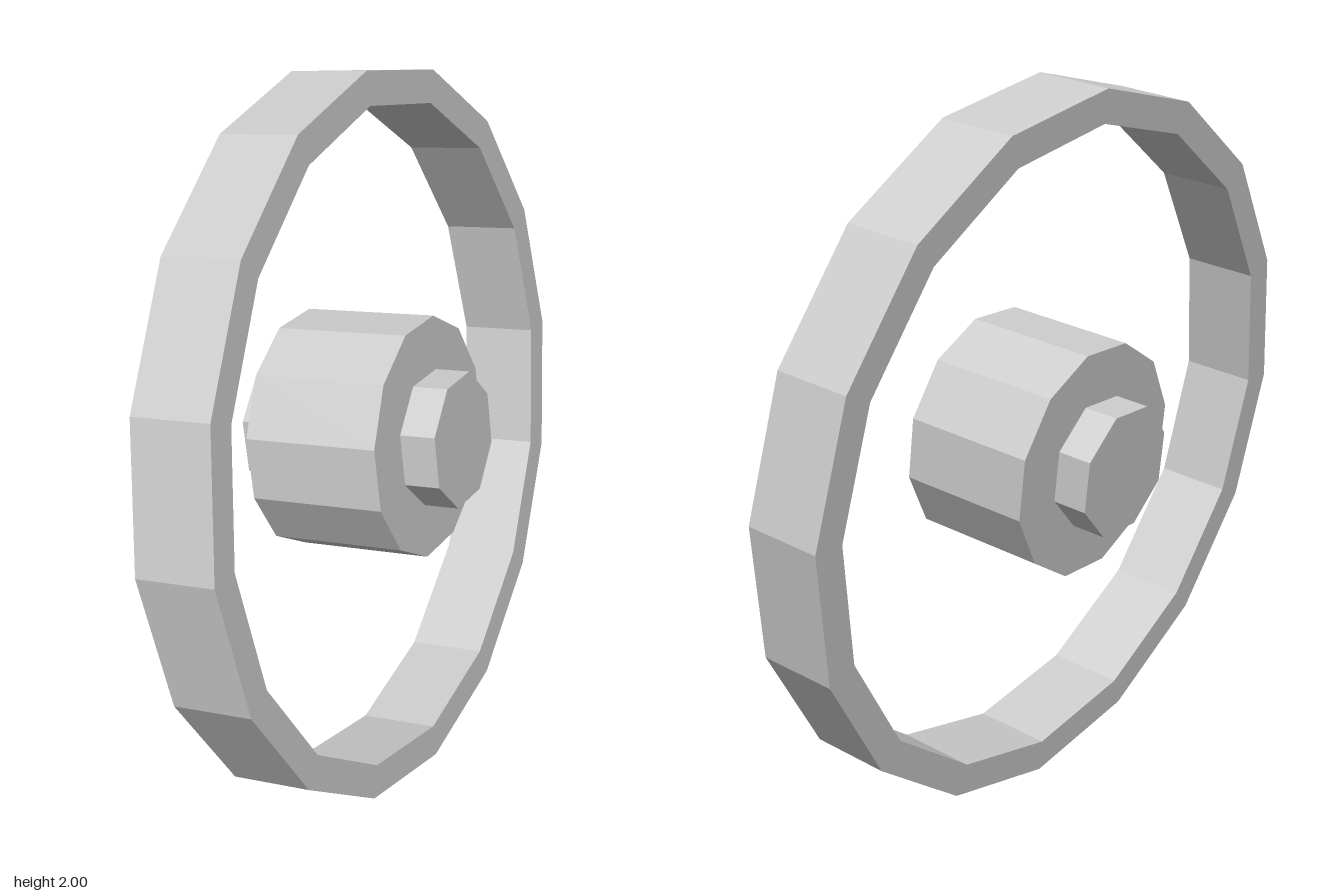
import * as THREE from 'three';

const material = new THREE.MeshStandardMaterial({ color: 0xcccccc, flatShading: true });

// Regular polygon outline with a corner on the +x axis
function polygon(PathType, radius, sides) {
  const points = [];
  for (let i = 0; i < sides; i++) {
    const a = (i / sides) * Math.PI * 2;
    points.push(new THREE.Vector2(Math.cos(a) * radius, Math.sin(a) * radius));
  }
  return new PathType(points);
}

// Prism along z with flat sides at top and bottom
function prism(name, radius, sides, z0, z1) {
  const geometry = new THREE.CylinderGeometry(radius, radius, z1 - z0, sides);
  geometry.rotateY(Math.PI / sides).rotateX(Math.PI / 2).translate(0, 0, (z0 + z1) / 2);
  const mesh = new THREE.Mesh(geometry, material);
  mesh.name = name;
  return mesh;
}

export function createModel() {
  const model = new THREE.Group();
  model.name = 'wheel';

  // Outer rim: a 16-sided hoop
  const width = 0.22;
  const outline = polygon(THREE.Shape, 0.993, 16);
  outline.holes.push(polygon(THREE.Path, 0.902, 16));
  const rimGeometry = new THREE.ExtrudeGeometry(outline, { depth: width, bevelEnabled: false });
  rimGeometry.translate(0, 0, -width / 2);
  const rim = new THREE.Mesh(rimGeometry, material);
  rim.name = 'rim';

  // Floating hub with an axle cap at each end
  const wheel = new THREE.Group();
  wheel.name = 'tiltedWheel';
  wheel.add(
    rim,
    prism('hub', 0.328, 12, -0.19, 0.19),
    prism('frontCap', 0.184, 8, 0.19, 0.29),
    prism('backCap', 0.184, 8, -0.29, -0.19)
  );

  // Tilt the axle upward and toward the left
  const axle = new THREE.Vector3(0.31, 0.115, 0.945).normalize();
  const side = new THREE.Vector3(-0.03, 0.985, -0.105).cross(axle).normalize();
  const up = axle.clone().cross(side);
  wheel.quaternion.setFromRotationMatrix(new THREE.Matrix4().makeBasis(side, up, axle));
  wheel.position.y = 1;

  model.add(wheel);
  return model;
}
